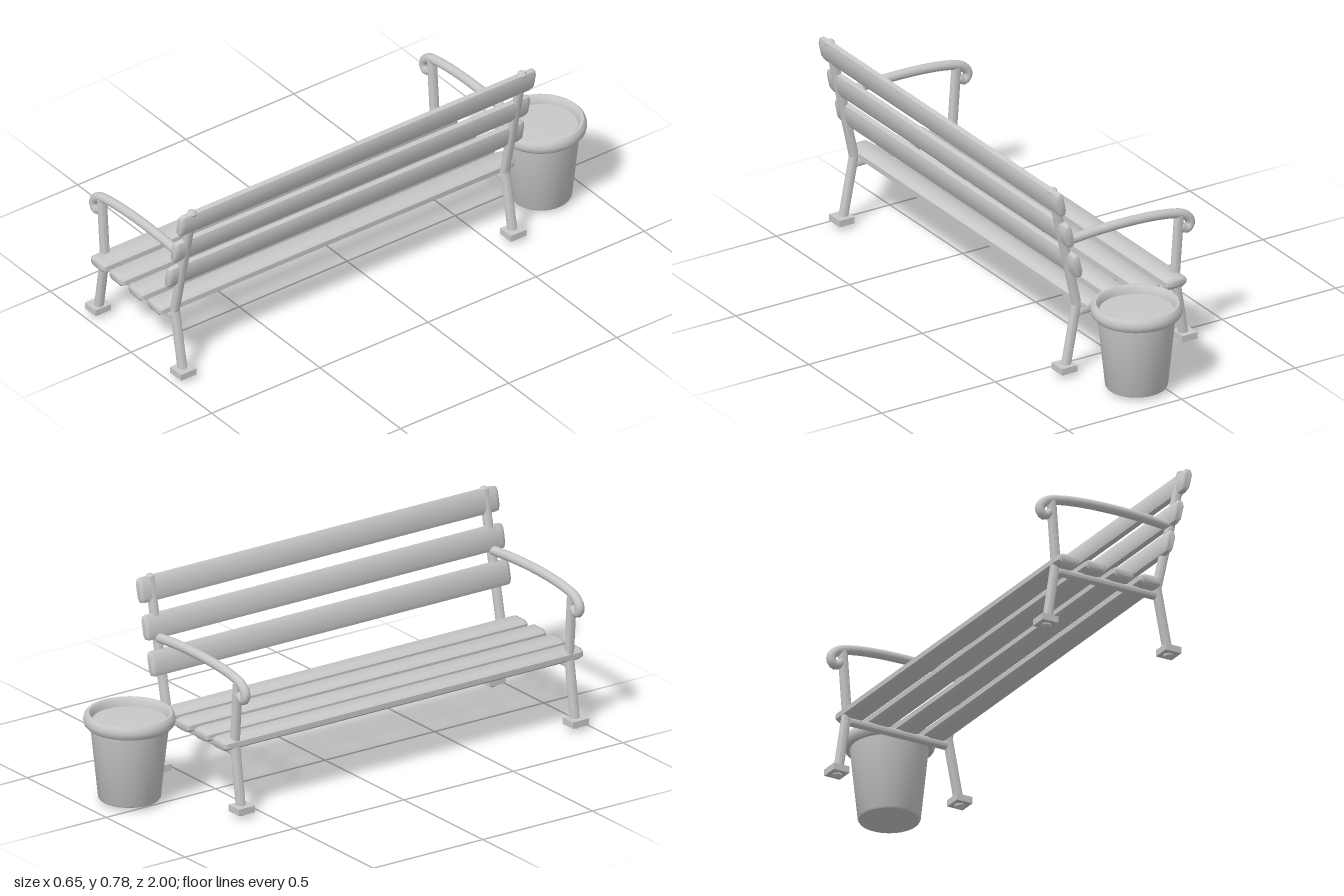
import * as THREE from 'three';
import { toCreasedNormals } from 'three/addons/utils/BufferGeometryUtils.js';

const BENCH_Z = 0.18;    // middle of the bench along its length
const FRAME_Z = 0.763;   // distance of each end frame from that middle
const R = 0.0185;        // radius of the frame bars

export function createModel() {
  const model = new THREE.Group();
  model.name = 'benchWithPlanter';
  const grey = new THREE.MeshStandardMaterial({ color: 0xc8c8c8 });
  grey.name = 'plain grey';

  const add = (parent, geometry, name) => {
    const mesh = new THREE.Mesh(geometry, grey);
    mesh.name = name;
    parent.add(mesh);
    return mesh;
  };

  // Straight round bar with chamfered tips, between two points in the frame plane
  const bar = (parent, name, x0, y0, x1, y1, r = R) => {
    const from = new THREE.Vector3(x0, y0, 0);
    const dir = new THREE.Vector3(x1, y1, 0).sub(from);
    const len = dir.length();
    const c = r * 0.5;
    const profile = [[0, 0], [r * 0.5, 0], [r, c], [r, len - c], [r * 0.5, len], [0, len]]
      .map(([a, b]) => new THREE.Vector2(a, b));
    const mesh = add(parent, toCreasedNormals(new THREE.LatheGeometry(profile, 12), 0.7), name);
    mesh.position.copy(from);
    mesh.quaternion.setFromUnitVectors(new THREE.Vector3(0, 1, 0), dir.normalize());
  };

  // Plank with an eight-sided section and bevelled ends
  const bevel = 0.018;
  const plank = (name, x, y, width, thick, angle) => {
    const w = width / 2 - 0.012, h = thick / 2 - 0.009;
    const cx = 0.012, cy = h * 0.6;
    const section = new THREE.Shape([
      [-w + cx, -h], [w - cx, -h], [w, -h + cy], [w, h - cy],
      [w - cx, h], [-w + cx, h], [-w, h - cy], [-w, -h + cy],
    ].map(([a, b]) => new THREE.Vector2(a, b)));
    const length = 1.64 - 2 * bevel;
    const geometry = new THREE.ExtrudeGeometry(section, {
      depth: length, bevelEnabled: true, bevelThickness: bevel, bevelSize: 0.009, bevelSegments: 2,
    });
    geometry.translate(0, 0, -length / 2);
    const mesh = add(model, toCreasedNormals(geometry, 0.85), name);
    mesh.position.set(x, y, BENCH_Z);
    mesh.rotation.z = angle;
  };

  // Seat and backrest
  for (const x of [-0.212, -0.096, 0.023, 0.14]) plank('seatSlat', x, 0.278, 0.098, 0.045, 0);
  for (const [x, y] of [[0.224, 0.456], [0.26, 0.588], [0.296, 0.725]]) {
    plank('backSlat', x, y, 0.101, 0.037, Math.PI / 2 - 0.22);
  }

  // Armrest path ending in a curl at the front
  const armPath = new THREE.CatmullRomCurve3([
    [0.252, 0.544], [0.13, 0.553], [0, 0.556], [-0.13, 0.551], [-0.22, 0.54], [-0.275, 0.525],
    [-0.304, 0.496], [-0.302, 0.472], [-0.285, 0.463], [-0.268, 0.474],
  ].map(([x, y]) => new THREE.Vector3(x, y, 0)));

  // End frames
  for (const side of [-1, 1]) {
    const frame = new THREE.Group();
    frame.name = 'endFrame';
    frame.position.z = BENCH_Z + side * FRAME_Z;
    model.add(frame);

    bar(frame, 'frontLeg', -0.28, 0.003, -0.237, 0.285);
    bar(frame, 'armPost', -0.237, 0.265, -0.257, 0.535);
    bar(frame, 'backLeg', 0.249, 0.003, 0.193, 0.29);
    bar(frame, 'backPost', 0.193, 0.265, 0.305, 0.78);
    bar(frame, 'seatRail', -0.236, 0.246, 0.194, 0.246, 0.0165);
    add(frame, new THREE.TubeGeometry(armPath, 56, R, 12), 'armrest');
    for (const t of [0, 1]) {
      add(frame, new THREE.SphereGeometry(R, 12, 8), 'armrestTip').position.copy(armPath.getPoint(t));
    }
    for (const x of [-0.281, 0.248]) {
      add(frame, new THREE.BoxGeometry(0.067, 0.026, 0.072), 'foot').position.set(x, 0.031, 0);
    }
  }

  // Tapered planter with a rolled rim and a filled top
  const pot = [
    [0, 0.016], [0.113, 0.016], [0.117, 0.022], [0.146, 0.302], [0.16, 0.302], [0.169, 0.312], [0.172, 0.328],
    [0.168, 0.345], [0.16, 0.354], [0.151, 0.354], [0.144, 0.347], [0.14, 0.322], [0.07, 0.325], [0, 0.326],
  ].map(([a, b]) => new THREE.Vector2(a, b));
  add(model, toCreasedNormals(new THREE.LatheGeometry(pot, 40), 0.75), 'planter').position.set(0.089, 0, -0.829);

  return model;
}
